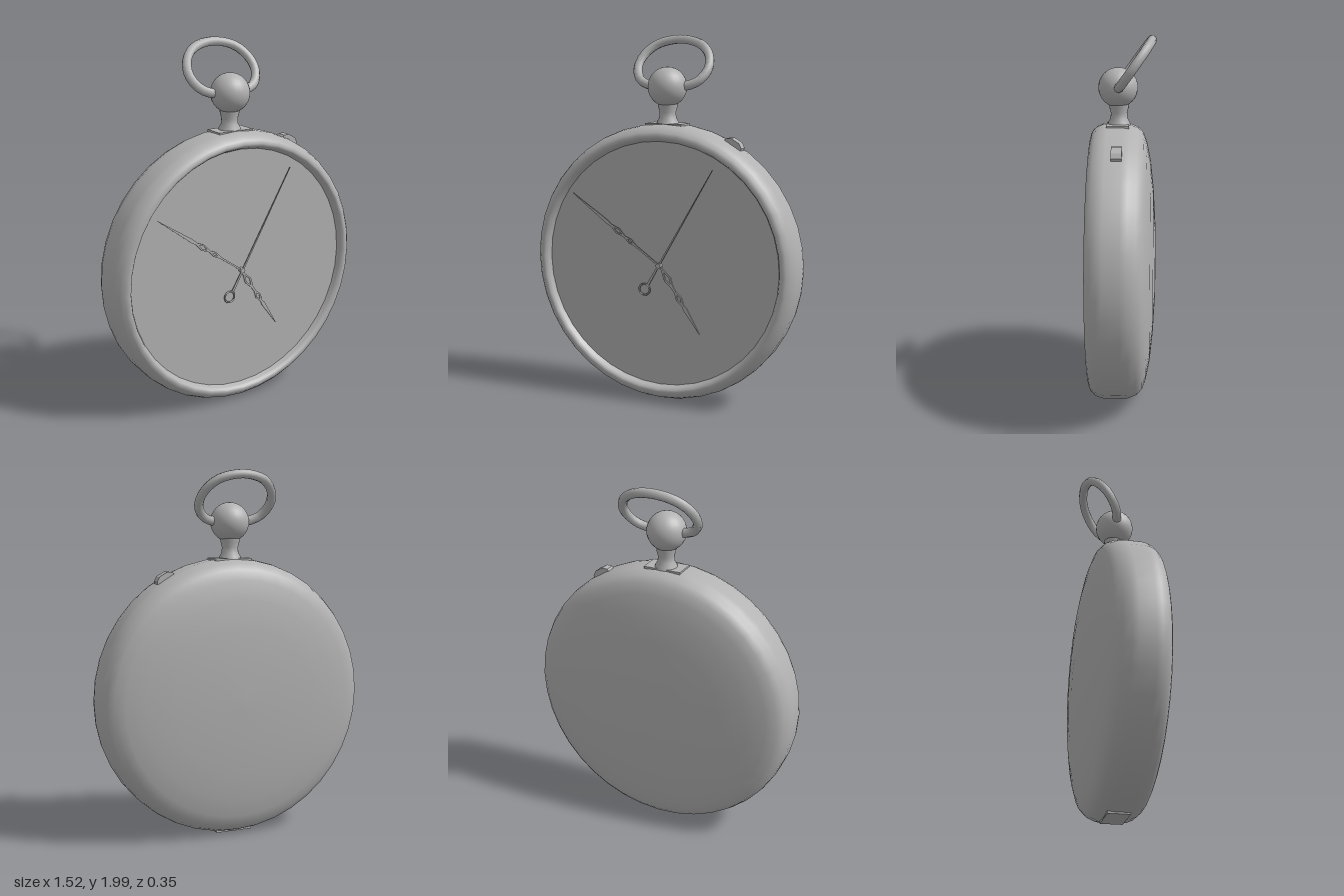
import * as THREE from 'three';

const CY = 0.77, AXIS_Z = 0.025;
const metal = new THREE.MeshStandardMaterial({ color: 0xb2b2b2 });
metal.name = 'grey metal';

const V = (pts) => pts.map(([a, b]) => new THREE.Vector2(a, b));

export function createModel() {
  const watch = new THREE.Group();
  watch.name = 'pocketWatch';

  const add = (name, geo, x = 0, y = 0, z = 0) => {
    const m = new THREE.Mesh(geo, metal);
    m.name = name;
    m.position.set(x, y, z);
    watch.add(m);
    return m;
  };
  // Turned part whose axis runs front to back; points are [radius, z]
  const turned = (pts, seg = 40) => new THREE.LatheGeometry(V(pts), seg).rotateX(Math.PI / 2);

  // Domed back, side band and rounded bezel
  add('case', turned([
    [0, -0.177], [0.2, -0.174], [0.4, -0.163], [0.55, -0.147], [0.65, -0.127], [0.705, -0.108],
    [0.737, -0.078], [0.755, -0.035], [0.76, 0.0], [0.76, 0.085], [0.755, 0.115],
    [0.742, 0.145], [0.722, 0.167], [0.703, 0.175], [0.69, 0.17], [0.682, 0.158],
  ]), 0, CY);
  add('bezelLip', turned([[0.682, 0.158], [0.67, 0.13]]), 0, CY);
  add('dial', new THREE.CircleGeometry(0.675, 40), 0, CY, 0.134);

  // Flat hand pointing up; the outline is half widths [width, distance], holes are [from, to, width]
  const hand = (name, outline, holes, tip, z) => {
    const pts = [...outline, ...outline.slice().reverse().map(([w, d]) => [-w, d])];
    const shape = new THREE.Shape(V(pts));
    for (const [a, b, w] of holes) {
      const mid = (a + b) / 2;
      shape.holes.push(new THREE.Path(V([[0, a], [-w, mid], [0, b], [w, mid]])));
    }
    const geo = new THREE.ExtrudeGeometry(shape, { depth: 0.005, bevelEnabled: false });
    add(name, geo, 0, CY, z).rotation.z = Math.atan2(-tip[0], tip[1]);
  };
  hand('hourHand', [
    [0.006, -0.01], [0.006, 0.03], [0.022, 0.085], [0.007, 0.135], [0.006, 0.17],
    [0.018, 0.21], [0.006, 0.25], [0.011, 0.275], [0.001, 0.43],
  ], [[0.045, 0.12, 0.012], [0.185, 0.235, 0.009]], [0.235, -0.36], 0.138);
  hand('minuteHand', [
    [0.005, -0.01], [0.005, 0.17], [0.014, 0.21], [0.005, 0.25], [0.017, 0.3],
    [0.006, 0.35], [0.01, 0.38], [0.001, 0.635],
  ], [[0.19, 0.23, 0.006], [0.27, 0.33, 0.009]], [-0.515, 0.365], 0.145);
  hand('secondHand', [[0.007, -0.125], [0.005, 0], [0.001, 0.62]], [], [0.31, 0.54], 0.152);
  add('secondHandRing', new THREE.TorusGeometry(0.031, 0.005, 6, 20), -0.083, CY - 0.137, 0.154);
  add('handPin', new THREE.CylinderGeometry(0.014, 0.014, 0.026, 12).rotateX(Math.PI / 2), 0, CY, 0.148);

  // Small plates set in the top and bottom of the band
  for (const [name, s] of [['topPlate', 1], ['bottomPlate', -1]])
    add(name, new THREE.BoxGeometry(0.21, 0.02, 0.12), 0, CY + s * 0.751, AXIS_Z + 0.005);

  // Push button at the upper left of the band
  const a = Math.PI / 3;
  const button = new THREE.Shape(V([[-0.057, -0.02], [0.057, -0.02], [0.05, 0.015], [0.025, 0.032],
    [-0.025, 0.032], [-0.05, 0.015]]));
  add('button', new THREE.ExtrudeGeometry(button, { depth: 0.055, bevelEnabled: false }),
    Math.cos(a) * 0.755, CY + Math.sin(a) * 0.755, AXIS_Z - 0.027).rotation.z = a - Math.PI / 2;

  // Neck and round crown
  add('neck', new THREE.LatheGeometry(V([
    [0.065, 1.51], [0.058, 1.54], [0.046, 1.56], [0.044, 1.59], [0.052, 1.62], [0.055, 1.65],
  ]), 20), 0, 0, AXIS_Z);
  add('crown', new THREE.SphereGeometry(0.106, 24, 16), 0, 1.725, AXIS_Z + 0.005);

  // Bow leaning backwards from the crown; half path as [x, y], mirrored
  const half = [[0.06, 1.725], [0.11, 1.732], [0.165, 1.755], [0.2, 1.8], [0.207, 1.845],
    [0.185, 1.9], [0.135, 1.945], [0.07, 1.968]];
  const path = [...half, [0, 1.976], ...half.slice().reverse().map(([x, y]) => [-x, y])]
    .map(([x, y]) => new THREE.Vector3(x, y, 0.028 - (y - 1.725) * 0.71));
  add('bow', new THREE.TubeGeometry(new THREE.CatmullRomCurve3(path), 32, 0.025, 8, false));

  return watch;
}
